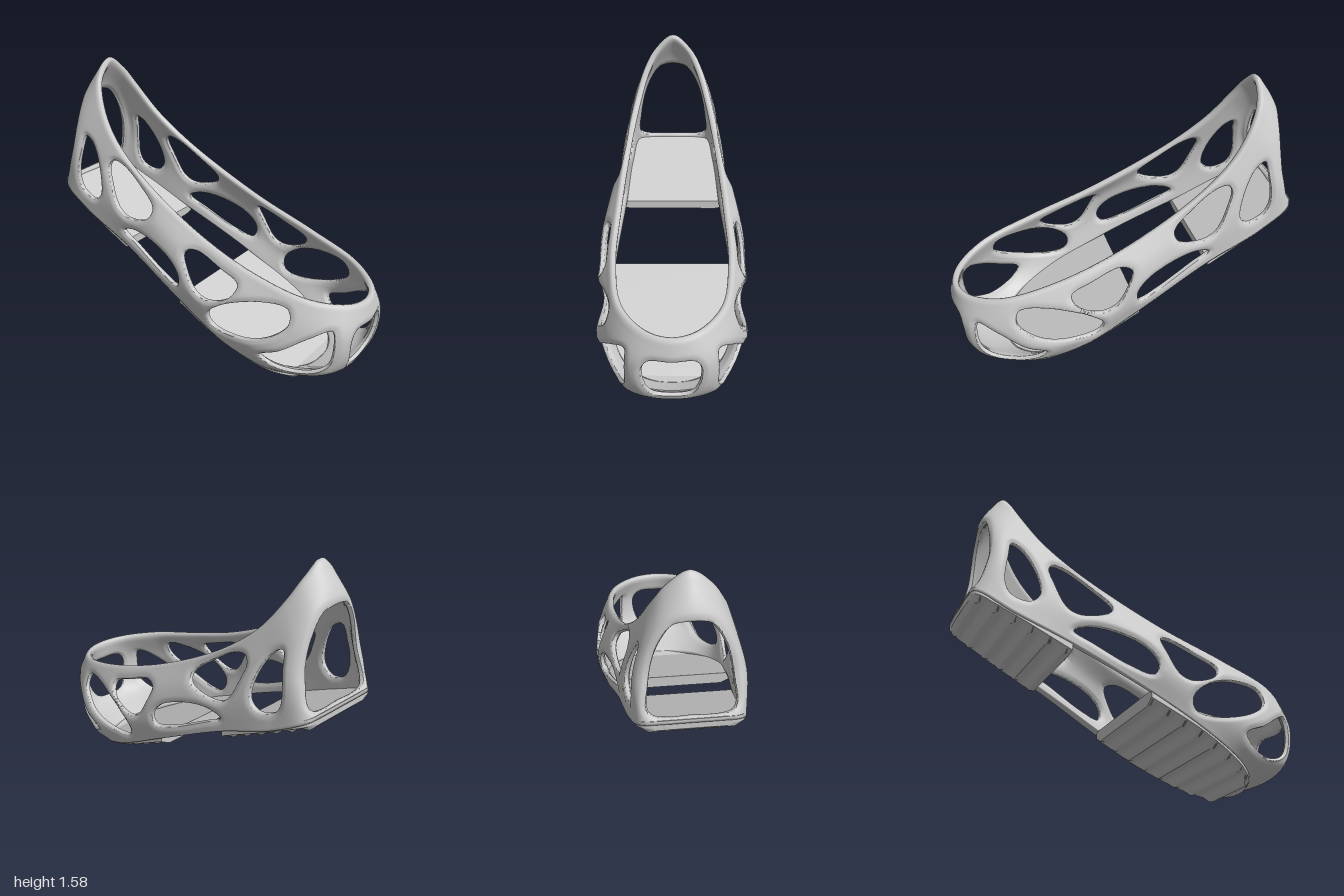
import * as THREE from 'three';

const V3 = (p) => new THREE.Vector3(...p);

// Half outlines of the upper, heel centre to toe centre, from the sole edge up to the rim
const HALF_ROWS = [
  [[-.98, .83, 0], [-.98, .83, .14], [-.965, .82, .235], [-.78, .72, .28], [-.45, .59, .31],
    [0, .37, .36], [.3, .21, .365], [.55, .1, .29], [.67, .055, .16], [.7, .045, 0]],
  [[-.91, 1.08, 0], [-.91, 1.07, .14], [-.89, 1.04, .245], [-.73, .93, .28], [-.42, .74, .325],
    [.02, .5, .4], [.38, .33, .405], [.68, .2, .36], [.86, .16, .22], [.905, .14, 0]],
  [[-.915, 1.37, 0], [-.905, 1.32, .12], [-.85, 1.24, .2], [-.69, 1.09, .25], [-.42, .9, .305],
    [.03, .66, .385], [.42, .5, .39], [.74, .4, .33], [.93, .36, .2], [.98, .34, 0]],
  [[-.8, 1.575, 0], [-.785, 1.5, .095], [-.74, 1.39, .155], [-.62, 1.215, .215], [-.4, 1.035, .26],
    [.03, .805, .3], [.42, .665, .315], [.74, .58, .265], [.91, .54, .13], [.955, .53, 0]],
];
const LOOP = 18; // stations around the closed outline
const ROWS = HALF_ROWS.map((h) => new THREE.CatmullRomCurve3(
  [...h, ...h.slice(1, 9).reverse().map(([x, y, z]) => [x, y, -z])].map(V3), true));

// Openings: smooth closed outlines
const smooth = (pts) => new THREE.CatmullRomCurve3(pts.map(([a, b]) => V3([a, b, 0])), true).getPoints(48).slice(1);
const mirrored = (pts) => smooth([...pts, ...pts.slice(1, -1).reverse().map(([a, b]) => [-a, b])]);
const SIDE_HOLES = [ // x, y
  [[-.8, 1.16], [-.74, 1.13], [-.66, .98], [-.645, .85], [-.7, .8], [-.8, .83], [-.835, .9], [-.82, 1.08]],
  [[-.57, 1.065], [-.49, 1.05], [-.35, .96], [-.24, .86], [-.26, .805], [-.42, .765], [-.5, .8], [-.57, .94], [-.595, 1.03]],
  [[-.46, .67], [-.38, .705], [-.22, .69], [-.06, .62], [0, .54], [-.02, .475], [-.15, .51], [-.35, .61]],
  [[.02, .69], [.08, .71], [.25, .65], [.37, .59], [.34, .52], [.2, .465], [.12, .49], [.05, .6]],
  [[.2, .38], [.3, .47], [.5, .53], [.66, .52], [.68, .44], [.56, .34], [.36, .29], [.22, .31]],
  [[.53, .23], [.65, .29], [.78, .375], [.88, .42], [.9, .35], [.87, .2], [.75, .14], [.6, .165]],
].map(smooth);
const HEEL_HOLE = mirrored([[0, 1.37], [.09, 1.35], [.165, 1.23], [.21, 1.02], [.21, .88], [0, .86]]); // z, y
const TOE_HOLE = mirrored([[0, .405], [.12, .4], [.155, .34], [.11, .18], [0, .155]]);

// Signed distance to an outline, positive outside it
function distance(poly, a, b) {
  let best = 1e9, inside = false;
  poly.forEach((p, i) => {
    const q = poly[(i + 1) % poly.length], dx = q.x - p.x, dy = q.y - p.y;
    const t = THREE.MathUtils.clamp(((a - p.x) * dx + (b - p.y) * dy) / (dx * dx + dy * dy + 1e-12), 0, 1);
    best = Math.min(best, Math.hypot(a - p.x - t * dx, b - p.y - t * dy));
    if ((p.y > b) !== (q.y > b) && a < p.x + dx * (b - p.y) / dy) inside = !inside;
  });
  return inside ? -best : best;
}

function solidness(p) {
  let d = Math.min(...SIDE_HOLES.map((h) => distance(h, p.x, p.y)));
  if (p.x < -.6) d = Math.min(d, distance(HEEL_HOLE, p.z, p.y));
  if (p.x > .7) d = Math.min(d, distance(TOE_HOLE, p.z, p.y));
  return d;
}

// Point on the upper: u runs around the foot, v runs from sole to rim
function surface(u, v) {
  const t = (((u % LOOP) + LOOP) % LOOP) / LOOP;
  return new THREE.CatmullRomCurve3(ROWS.map((r) => r.getPoint(t))).getPoint(THREE.MathUtils.clamp(v, 0, 1));
}

function geometryFrom(positions, index) {
  const g = new THREE.BufferGeometry();
  g.setAttribute('position', new THREE.Float32BufferAttribute(positions, 3));
  g.setIndex(index);
  g.computeVertexNormals();
  return g;
}

// Perforated upper: a grid clipped at the openings, doubled into a thick wall
function upperGeometry() {
  const NU = 432, NV = 44, verts = [], cuts = new Map(), tris = [];
  for (let j = 0; j <= NV; j++) {
    for (let i = 0; i < NU; i++) {
      const u = i * LOOP / NU, v = j / NV;
      verts.push({ u, v, f: solidness(surface(u, v)) });
    }
  }
  const cut = (a, b) => {
    const key = Math.min(a, b) + '_' + Math.max(a, b);
    if (!cuts.has(key)) {
      const A = verts[a], B = verts[b], t = A.f / (A.f - B.f);
      let du = B.u - A.u;
      if (Math.abs(du) > LOOP / 2) du -= Math.sign(du) * LOOP;
      cuts.set(key, verts.push({ u: A.u + t * du, v: A.v + t * (B.v - A.v), f: 0 }) - 1);
    }
    return cuts.get(key);
  };
  const clip = (tri) => {
    const out = [];
    tri.forEach((a, k) => {
      const b = tri[(k + 1) % 3], inA = verts[a].f > 0, inB = verts[b].f > 0;
      if (inA) out.push(a);
      if (inA !== inB) out.push(cut(a, b));
    });
    for (let k = 2; k < out.length; k++) tris.push([out[0], out[k - 1], out[k]]);
  };
  for (let j = 0; j < NV; j++) {
    for (let i = 0; i < NU; i++) {
      const n = (i + 1) % NU, a = j * NU + i, b = j * NU + n;
      clip([a, b, b + NU]);
      clip([a, b + NU, a + NU]);
    }
  }
  // Outer and inner skins, thinner near every edge so that the edges look rounded
  const outer = [], inner = [], e = .01;
  verts.forEach(({ u, v, f }) => {
    const p = surface(u, v);
    const du = surface(u + e, v).sub(surface(u - e, v)), dv = surface(u, v + e).sub(surface(u, v - e));
    const n = du.cross(dv).normalize();
    const edge = THREE.MathUtils.smoothstep(Math.min(Math.max(f, 0), (1 - v) * .7), 0, .025);
    const h = .02 * (.5 + .5 * edge);
    outer.push(...p.clone().addScaledVector(n, h).toArray());
    inner.push(...p.addScaledVector(n, -h).toArray());
  });
  const N = verts.length, index = [], edges = new Set();
  for (const [a, b, c] of tris) {
    index.push(a, b, c, a + N, c + N, b + N);
    [[a, b], [b, c], [c, a]].forEach(([p, q]) => edges.add(p * N + q));
  }
  for (const key of edges) { // walls along open edges
    const p = Math.floor(key / N), q = key % N;
    if (!edges.has(q * N + p)) index.push(q, p, p + N, q, p + N, q + N);
  }
  return geometryFrom(outer.concat(inner), index);
}

// Sole plate between two stations of the sole edge, with tread ribs underneath
function plateGeometry(from, to) {
  const STEPS = 160, K = 6, pos = [], index = [];
  for (let i = 0; i <= STEPS; i++) {
    const p = ROWS[0].getPoint((from + (to - from) * i / STEPS) / LOOP);
    const x = p.x < -.9 ? p.x - .015 : p.x, w = Math.max(p.z + .01, .002);
    const y = Math.max(.83 - .48 * (x + 1), .04);
    const rib = .024 * Math.pow(Math.abs(Math.sin((x + .03) * Math.PI / .094)), 1.5);
    const low = Math.max(y - .045 + rib, 0);
    [[w, y + .028], [-w, y + .028], [-w, y - .012], [-w * .84, low], [w * .84, low], [w, y - .012]]
      .forEach(([z, yy]) => pos.push(x, yy, z));
  }
  for (let i = 0; i < STEPS; i++) {
    for (let k = 0; k < K; k++) {
      const a = i * K + k, b = i * K + (k + 1) % K;
      index.push(a, a + K, b, b, a + K, b + K);
    }
  }
  const end = STEPS * K;
  for (let k = 2; k < K; k++) index.push(0, k - 1, k, end, end + k, end + k - 1);
  const g = geometryFrom(pos, index).toNonIndexed();
  g.computeVertexNormals();
  return g;
}

export function createModel() {
  const group = new THREE.Group();
  const material = new THREE.MeshStandardMaterial({ color: 0xcccccc, side: THREE.DoubleSide });
  const add = (name, geometry) => {
    const mesh = new THREE.Mesh(geometry, material);
    mesh.name = name;
    group.add(mesh);
  };
  add('perforatedUpper', upperGeometry());
  add('heelSole', plateGeometry(0, 3.97));
  add('forefootSole', plateGeometry(4.93, 9));
  return group;
}
